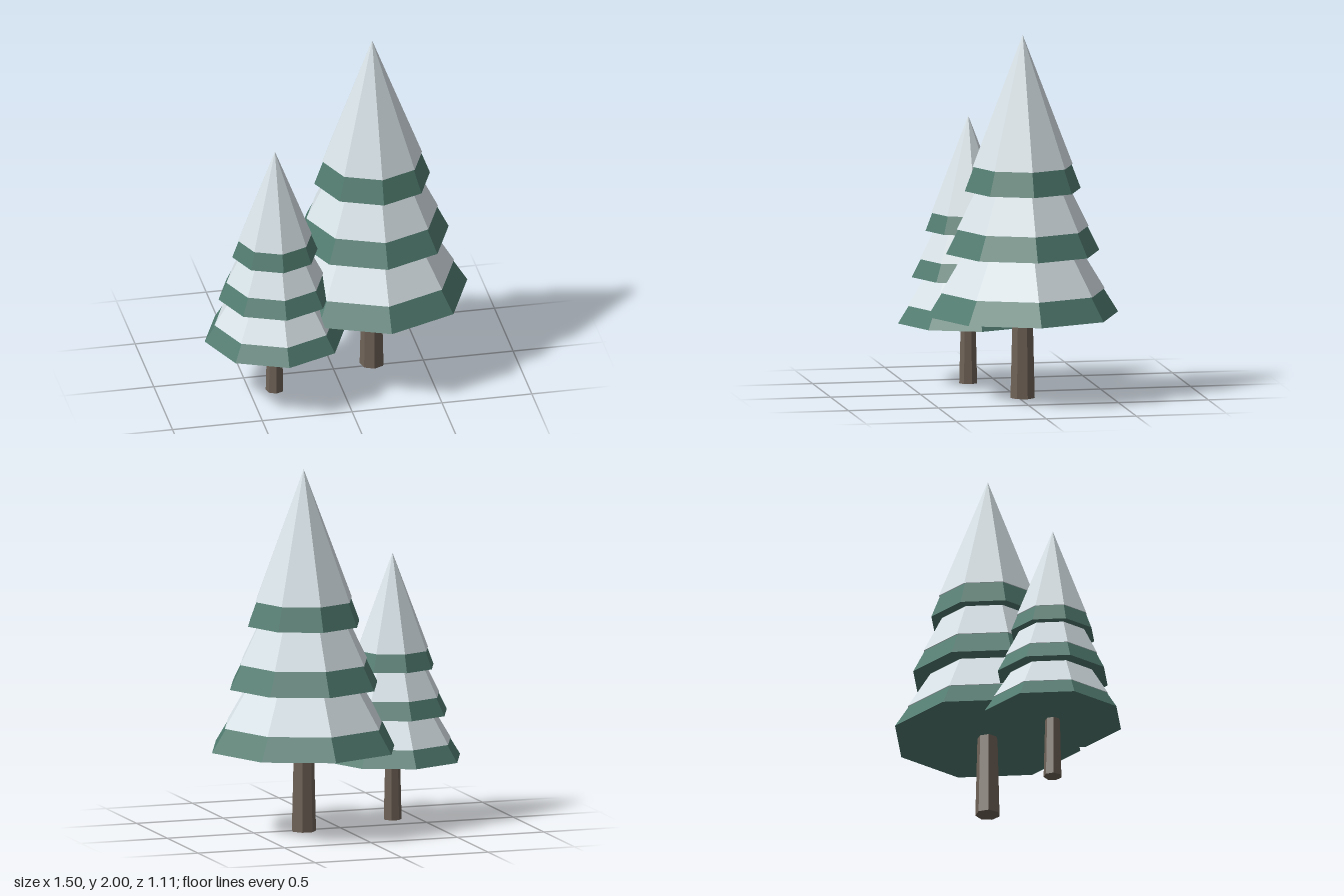
import * as THREE from 'three';

const flat = (name, color) => {
  const m = new THREE.MeshStandardMaterial({ color, flatShading: true });
  m.name = name;
  return m;
};

// Each tier: base height, base radius, green apex; snow edge height, radius, apex
const TIERS = [
  { y: 0.46, r: 0.53, top: 1.31, snowY: 0.59, snowR: 0.456, snowTop: 1.34 },
  { y: 0.803, r: 0.426, top: 1.65, snowY: 0.937, snowR: 0.366, snowTop: 1.67 },
  { y: 1.147, r: 0.322, top: 1.99, snowY: 1.28, snowR: 0.278, snowTop: 2.0 },
];

export function createModel() {
  const needles = flat('pine green', 0x507a6e);
  const snow = flat('snow', 0xdde8ed);
  const bark = flat('bark brown', 0x6f6257);

  // Tapered prism or cone standing between two heights
  const frustum = (name, rTop, rBottom, y0, y1, sides, material) => {
    const g = new THREE.CylinderGeometry(rTop, rBottom, y1 - y0, sides);
    g.translate(0, (y0 + y1) / 2, 0);
    const mesh = new THREE.Mesh(g, material);
    mesh.name = name;
    return mesh;
  };

  const makeTree = (name, x, z, scale) => {
    const tree = new THREE.Group();
    tree.name = name;
    tree.add(frustum('trunk', 0.055, 0.068, 0, 0.52, 7, bark));
    TIERS.forEach((t, i) => {
      tree.add(frustum(`branches${i + 1}`, 0, t.r, t.y, t.top, 8, needles));
      tree.add(frustum(`snowCap${i + 1}`, 0, t.snowR, t.snowY, t.snowTop, 8, snow));
    });
    tree.position.set(x, 0, z);
    tree.scale.setScalar(scale);
    return tree;
  };

  const group = new THREE.Group();
  group.name = 'snowyPines';
  group.add(makeTree('largePine', 0.22, -0.024, 1));
  group.add(makeTree('smallPine', -0.36, 0.163, 0.737));
  return group;
}
